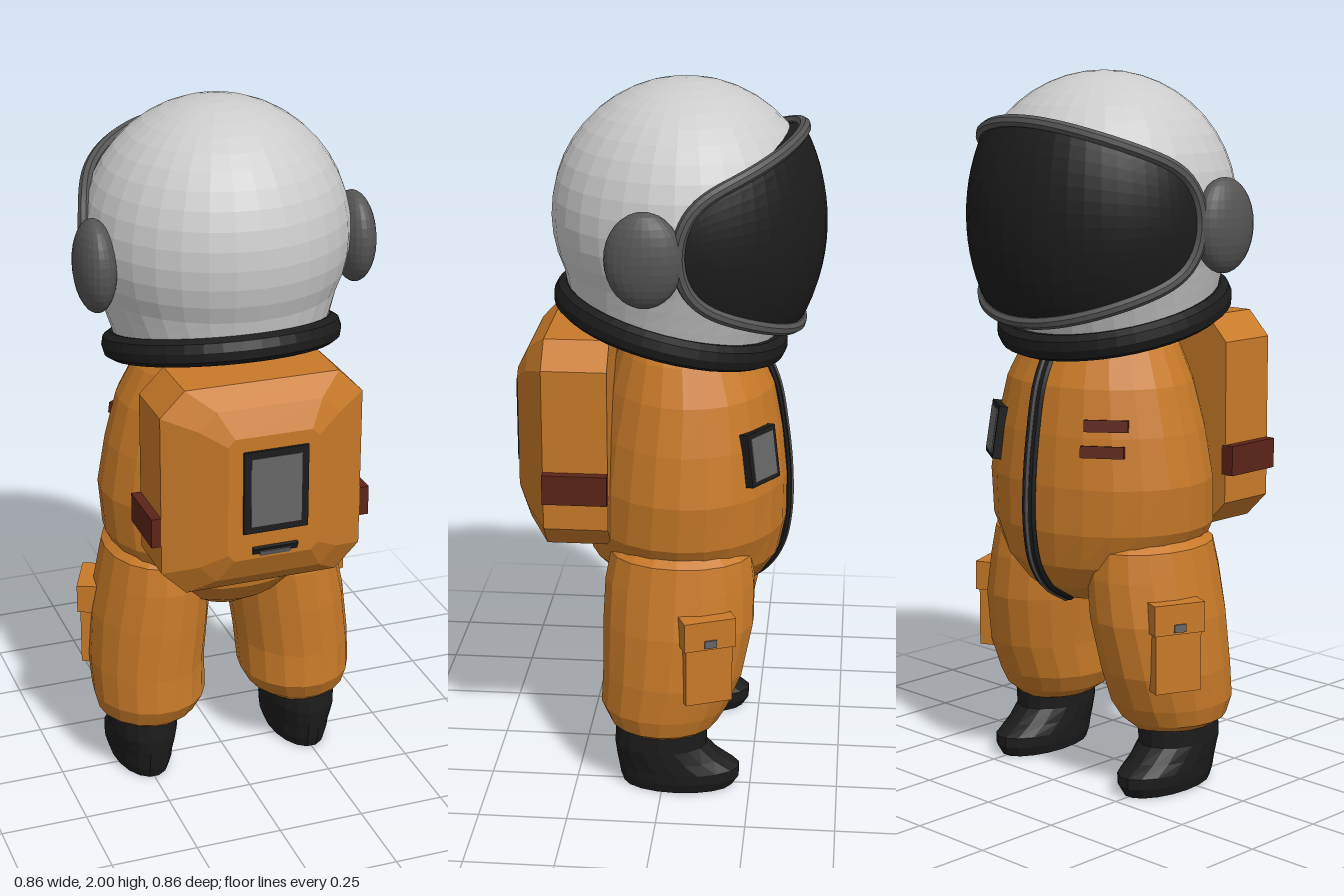
import * as THREE from 'three';

const mat = (color, extra = {}) => new THREE.MeshStandardMaterial({ color, flatShading: true, ...extra });
const ORANGE = mat(0xc87a28), BLACK = mat(0x1c1c1c), GREY = mat(0x555555), SCREEN = mat(0x666666), RED = mat(0x5c2418);
const SHELL = mat(0xcccccc, { side: THREE.DoubleSide });
const GLASS = mat(0x1c1c1c, { side: THREE.DoubleSide });

// Skin over rows of points; rows wrap around when closed, and can be capped
function loft(rows, closed = true, caps = true) {
  const n = rows[0].length, pos = rows.flat(2), idx = [];
  for (let j = 0; j < rows.length - 1; j++) {
    for (let i = 0; i < (closed ? n : n - 1); i++) {
      const a = j * n + i, b = j * n + (i + 1) % n;
      idx.push(a, a + n, b, b, a + n, b + n);
    }
  }
  if (caps) {
    const top = (rows.length - 1) * n;
    for (let i = 1; i < n - 1; i++) idx.push(0, i, i + 1, top, top + i + 1, top + i);
  }
  const g = new THREE.BufferGeometry();
  g.setAttribute('position', new THREE.Float32BufferAttribute(pos, 3));
  g.setIndex(idx);
  g.computeVertexNormals();
  return g;
}

// Horizontal ellipse from a section [y, xCentre, xRadius, zBack, zFront]
const ellipse = ([y, xc, rx, zb, zf], n) => Array.from({ length: n }, (_, i) => {
  const a = (i / n) * Math.PI * 2;
  return [xc + rx * Math.cos(a), y, (zb + zf) / 2 + (zb - zf) / 2 * Math.sin(a)];
});

function add(parent, name, geometry, material, p = [0, 0, 0], r = [0, 0, 0]) {
  const m = new THREE.Mesh(geometry, material);
  m.name = name;
  m.position.set(...p);
  m.rotation.set(...r);
  parent.add(m);
  return m;
}
const box = (w, h, d) => new THREE.BoxGeometry(w, h, d);

const TORSO = [
  [0.53, 0, 0.11, 0.09, -0.19], [0.58, 0, 0.20, 0.17, -0.27], [0.65, 0, 0.28, 0.23, -0.315],
  [0.75, 0, 0.335, 0.245, -0.335], [0.88, 0, 0.345, 0.23, -0.335], [1.02, 0, 0.32, 0.21, -0.32],
  [1.15, 0, 0.285, 0.18, -0.295], [1.25, 0, 0.235, 0.15, -0.25], [1.32, 0, 0.17, 0.13, -0.17], [1.37, 0, 0.14, 0.12, -0.13],
];
const LEG = [
  [0.17, 0.235, 0.10, 0.12, -0.12], [0.20, 0.235, 0.145, 0.155, -0.155], [0.25, 0.228, 0.165, 0.18, -0.185],
  [0.35, 0.228, 0.168, 0.175, -0.225], [0.5, 0.212, 0.17, 0.175, -0.255], [0.62, 0.195, 0.162, 0.17, -0.255],
  [0.70, 0.19, 0.15, 0.155, -0.245], [0.75, 0.18, 0.10, 0.10, -0.18],
];
const BOOT = [
  [0, 0.25, 0.08, 0.115, -0.20], [0.03, 0.25, 0.09, 0.125, -0.22], [0.06, 0.25, 0.093, 0.13, -0.22],
  [0.09, 0.25, 0.095, 0.135, -0.17], [0.13, 0.25, 0.098, 0.14, -0.125], [0.22, 0.25, 0.10, 0.135, -0.13],
];

// Holder lying on the chest surface at height y and sideways x, its +z pointing outward
function onChest(parent, name, x, y) {
  const k = TORSO.findIndex((s) => s[0] > y), lo = TORSO[k - 1], hi = TORSO[k];
  const t = (y - lo[0]) / (hi[0] - lo[0]);
  const [, , rx, zb, zf] = lo.map((v, i) => v + (hi[i] - v) * t);
  const rz = (zb - zf) / 2, z = -rz * Math.sqrt(1 - (x / rx) ** 2);
  const g = new THREE.Group();
  g.name = name;
  g.position.set(x, y, z + (zb + zf) / 2);
  const nrm = new THREE.Vector3(x / rx ** 2, 0, z / rz ** 2).normalize();
  nrm.y = 0.15;
  g.lookAt(nrm.add(g.position));
  parent.add(g);
  return g;
}

function buildHelmet(root) {
  const g = new THREE.Group();
  g.name = 'helmet';
  root.add(g);
  const TILT = 0.24, N = 32, R = 0.37, C = [0, 1.63, -0.04];

  // Shell: a sphere whose lower rows blend into the tilted neck ring
  const sphereRow = (th) => ellipse([C[1] + R * Math.cos(th), 0, R * Math.sin(th), C[2] + R * Math.sin(th), C[2] - R * Math.sin(th)], N);
  const low = sphereRow(2.0);
  const rim = ellipse([0, 0, 0.29, 0.29, -0.29], N).map(([x, , z]) => [x, 1.33 + z * Math.sin(TILT), z * Math.cos(TILT)]);
  const rows = [0, 0.35, 0.7].map((t) => rim.map((p, i) => p.map((v, k) => v + (low[i][k] - v) * t)));
  for (let j = 14; j >= 0; j--) rows.push(sphereRow(2.0 * j / 14 + 0.0001));
  add(g, 'helmetShell', loft(rows, true, false), SHELL);

  // Neck ring
  const prof = [[0.27, -0.03], [0.31, -0.038], [0.33, -0.025], [0.336, 0], [0.33, 0.025], [0.31, 0.038], [0.27, 0.03], [0.27, -0.03]];
  add(g, 'neckRing', new THREE.LatheGeometry(prof.map((p) => new THREE.Vector2(...p)), 40), BLACK, [0, 1.33, 0], [-TILT, 0, 0]);

  // Visor: ellipsoid patch, taller at the middle, with an edge turned inward
  const visorPoint = (s, v, inset = 1) => {
    const phi = s * Math.PI / 2;
    const y = v * (0.13 + 0.14 * Math.cos(phi)) * Math.sqrt(Math.max(0, 1 - Math.abs(s) ** 16));
    const w = Math.sqrt(1 - (y / 0.47) ** 2) * inset;
    return [0.375 * w * Math.sin(phi), 1.6 + y, -0.05 - 0.38 * w * Math.cos(phi)];
  };
  const cols = Array.from({ length: 37 }, (_, i) => Math.sin((i / 36 - 0.5) * Math.PI));
  const row = (v, inset) => cols.map((s) => visorPoint(s, v, inset));
  const vis = [row(-1, 0.87)];
  for (let j = 0; j <= 14; j++) vis.push(row(j / 7 - 1));
  vis.push(row(1, 0.87));
  add(g, 'visor', loft(vis, false, false), GLASS);
  const edge = [...row(1), ...row(-1).reverse().slice(1, -1)].map((p) => new THREE.Vector3(...p));
  add(g, 'visorTrim', new THREE.TubeGeometry(new THREE.CatmullRomCurve3(edge, true), 120, 0.018, 8, true), GREY);

  // Ear pieces
  for (const s of [1, -1]) {
    add(g, 'earPiece', new THREE.SphereGeometry(1, 24, 16), GREY, [s * 0.374, 1.59, 0.04]).scale.set(0.056, 0.13, 0.105);
  }
}

function buildBackpack(root) {
  const g = new THREE.Group();
  g.name = 'backpack';
  root.add(g);
  // Chamfered rectangles stacked along z
  const section = ([z, w, y0, y1, c]) => [
    [-w, y0 + c, z], [-w, y1 - c, z], [-w + c, y1, z], [w - c, y1, z],
    [w, y1 - c, z], [w, y0 + c, z], [w - c, y0, z], [-w + c, y0, z]];
  const body = [[0.15, 0.29, 0.72, 1.32, 0.07], [0.33, 0.29, 0.72, 1.32, 0.07], [0.385, 0.2, 0.77, 1.27, 0.05], [0.42, 0.13, 0.84, 1.2, 0.02]];
  add(g, 'packBody', loft(body.map(section)), ORANGE);
  add(g, 'panelFrame', box(0.185, 0.24, 0.02), BLACK, [0.005, 1.04, 0.418]);
  add(g, 'panelScreen', box(0.145, 0.2, 0.02), SCREEN, [0.005, 1.04, 0.42]);
  add(g, 'ventFrame', box(0.13, 0.05, 0.03), BLACK, [0.005, 0.855, 0.405], [0.4, 0, 0]);
  add(g, 'ventInset', box(0.09, 0.026, 0.03), SCREEN, [0.005, 0.855, 0.408], [0.4, 0, 0]);
  for (const s of [1, -1]) add(g, 'sideStrap', box(0.04, 0.085, 0.18), RED, [s * 0.297, 0.915, 0.24]);
}

function buildLeg(root, s) {
  const g = new THREE.Group();
  g.name = s > 0 ? 'leftLeg' : 'rightLeg';
  root.add(g);
  const side = (sections, n) => loft(sections.map(([y, x, ...r]) => ellipse([y, s * x, ...r], n)));
  add(g, 'trouserLeg', side(LEG, 18), ORANGE);
  add(g, 'boot', side(BOOT, 18), BLACK);
  // Thigh pocket with flap and buckle
  const pocket = new THREE.Group();
  pocket.name = 'pocket';
  pocket.position.set(s * 0.36, 0.44, -0.13);
  pocket.rotation.y = s * 0.4;
  g.add(pocket);
  add(pocket, 'pocketBag', box(0.05, 0.24, 0.135), ORANGE, [0, 0, 0]);
  add(pocket, 'pocketFlap', box(0.066, 0.085, 0.15), ORANGE, [0, 0.09, 0]);
  add(pocket, 'pocketBuckle', box(0.012, 0.022, 0.035), SCREEN, [s * 0.032, 0.065, 0]);
}

export function createModel() {
  const root = new THREE.Group();
  root.name = 'astronaut';

  add(root, 'torso', loft(TORSO.map((s) => ellipse(s, 24))), ORANGE);

  // Zip down the middle of the chest
  const path = new THREE.CatmullRomCurve3(TORSO.slice(0, 8).map((s) => new THREE.Vector3(0, s[0], s[4])));
  add(root, 'zipTape', new THREE.TubeGeometry(path, 40, 0.011, 8), BLACK).scale.x = 2.4;
  add(root, 'zipTeeth', new THREE.TubeGeometry(path, 40, 0.015, 8), GREY).scale.x = 0.7;

  // Chest patch on one side, two stripes on the other
  const patch = onChest(root, 'chestPatch', 0.205, 0.995);
  add(patch, 'patchFrame', box(0.125, 0.15, 0.03), BLACK);
  add(patch, 'patchScreen', box(0.1, 0.125, 0.03), SCREEN, [0, 0, 0.003]);
  for (const y of [1.055, 0.985]) add(onChest(root, 'chestStripe', -0.21, y), 'stripe', box(0.12, 0.033, 0.03), RED);

  buildHelmet(root);
  buildBackpack(root);
  for (const s of [1, -1]) buildLeg(root, s);
  return root;
}
